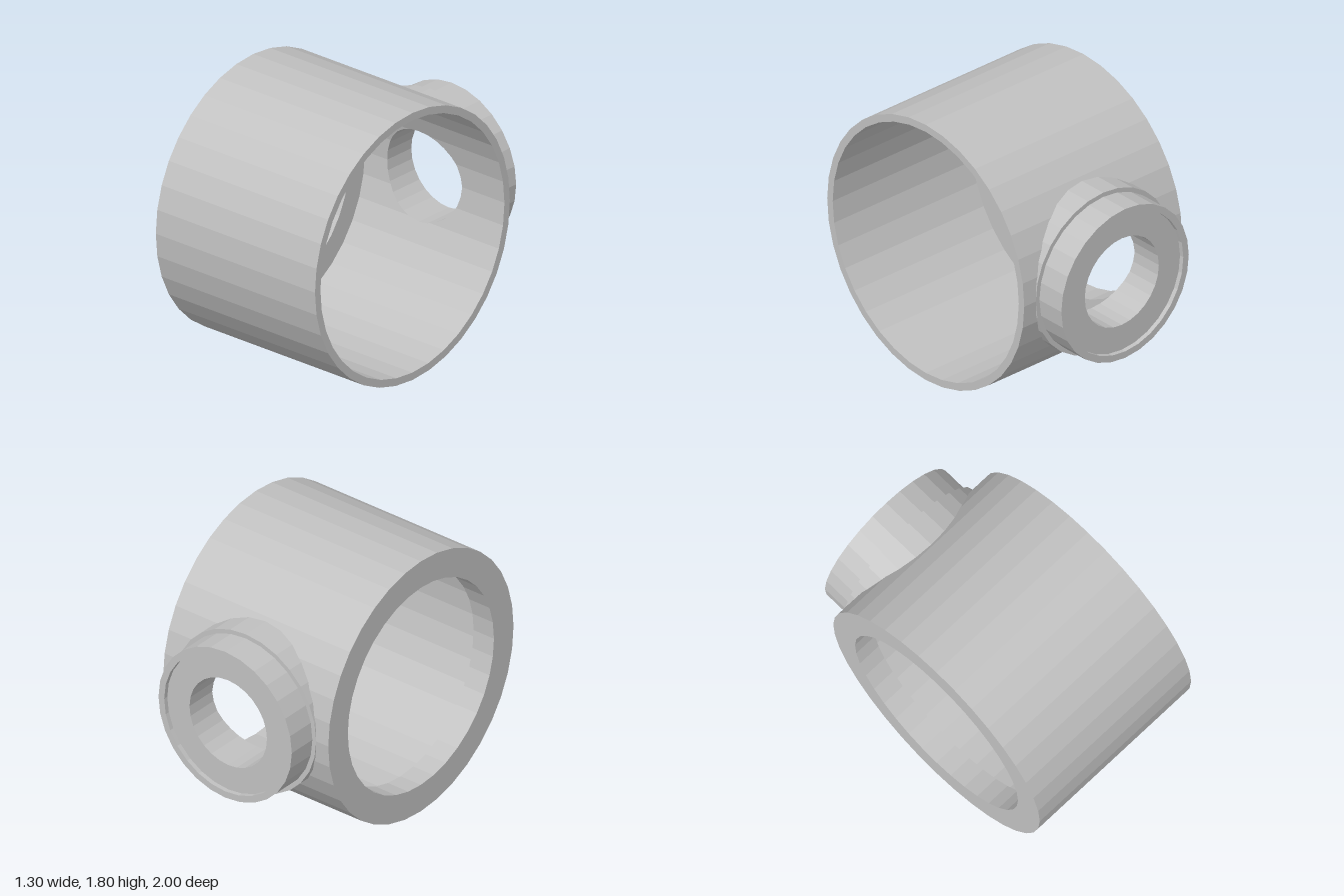
import * as THREE from 'three';

const BODY_SIDES = 36, BRANCH_SIDES = 28;
const CY = 0.9, CZ = 0.1;                 // axis of the main ring
const R_OUT = 0.9, R_WIDE = 0.85, R_NARROW = 0.71;
const X0 = -0.65, X1 = 0.65, X_STEP = -0.49;
const R_HOLE = 0.305;

// distance from the axis plane to the faceted cylinder wall at height dy
function wallDepth(R, dy) {
  const step = (2 * Math.PI) / BODY_SIDES;
  const a = Math.asin(THREE.MathUtils.clamp(dy / R, -1, 1));
  const k = Math.floor(a / step + 1e-6);
  const s0 = R * Math.sin(k * step), s1 = R * Math.sin((k + 1) * step);
  const c0 = R * Math.cos(k * step), c1 = R * Math.cos((k + 1) * step);
  if (Math.abs(s1 - s0) < 1e-9 || k >= BODY_SIDES / 4) return Math.max(0, c0);
  return c0 + (c1 - c0) * (dy - s0) / (s1 - s0);
}

// half width of the many-sided branch opening at height dy
function holeHalfWidth(r, dy) {
  const step = (2 * Math.PI) / BRANCH_SIDES;
  const a = Math.asin(THREE.MathUtils.clamp(dy / r, -1, 1));
  const k = Math.min(Math.floor(a / step + 1e-6), BRANCH_SIDES / 4 - 1);
  const s0 = r * Math.sin(k * step), s1 = r * Math.sin((k + 1) * step);
  const c0 = r * Math.cos(k * step), c1 = r * Math.cos((k + 1) * step);
  return Math.max(0, c0 + (c1 - c0) * (dy - s0) / (s1 - s0));
}

// cylinder wall along x with a round opening at the back
function wallWithHole(R, xa, xb, hole, inward) {
  const ys = [];
  for (let k = 0; k <= BODY_SIDES / 2; k++) ys.push(-R * Math.cos((k * 2 * Math.PI) / BODY_SIDES));
  for (let k = 0; k <= BRANCH_SIDES / 2; k++) ys.push(-hole * Math.cos((k * 2 * Math.PI) / BRANCH_SIDES));
  ys.sort((a, b) => a - b);
  const pos = [];
  for (const side of [1, -1]) {
    const flip = (side < 0) !== inward;
    const quad = (l0, r0, l1, r1, y0, y1) => {
      const p = (x, y) => [x, CY + y, CZ + side * wallDepth(R, y)];
      const [a, b, c, d] = [p(l0, y0), p(r0, y0), p(r1, y1), p(l1, y1)];
      pos.push(...(flip ? [a, c, b, a, d, c] : [a, b, c, a, c, d]).flat());
    };
    for (let i = 0; i + 1 < ys.length; i++) {
      const y0 = ys[i], y1 = ys[i + 1];
      if (y1 - y0 < 1e-6) continue;
      if (side < 0 && Math.abs((y0 + y1) / 2) < hole) {
        const w0 = holeHalfWidth(hole, y0), w1 = holeHalfWidth(hole, y1);
        quad(xa, -w0, xa, -w1, y0, y1);
        quad(w0, xb, w1, xb, y0, y1);
      } else {
        quad(xa, xb, xa, xb, y0, y1);
      }
    }
  }
  const g = new THREE.BufferGeometry();
  g.setAttribute('position', new THREE.Float32BufferAttribute(pos, 3));
  g.computeVertexNormals();
  return g;
}

const lathe = (pts, sides) =>
  new THREE.LatheGeometry(pts.map(([r, h]) => new THREE.Vector2(r, h)), sides);

export function createModel() {
  const group = new THREE.Group();
  const grey = new THREE.MeshStandardMaterial({ color: 0xc0c0c0, flatShading: true });
  grey.name = 'plain grey';
  const add = (name, geometry) => {
    const mesh = new THREE.Mesh(geometry, grey);
    mesh.name = name;
    group.add(mesh);
  };

  // main ring walls
  add('outerWall', wallWithHole(R_OUT, X0, X1, 0.53, false));
  add('wideBore', wallWithHole(R_WIDE, X_STEP, X1, R_HOLE, true));

  // thin rim at the open end
  const rim = lathe([[R_OUT, X1], [R_WIDE, X1]], BODY_SIDES);
  // inner step, narrow bore and thick end face
  const lip = lathe([[R_WIDE, X_STEP], [R_NARROW, X_STEP], [R_NARROW, X0], [R_OUT, X0]], BODY_SIDES);
  for (const [name, g] of [['openRim', rim], ['narrowLip', lip]]) {
    g.rotateZ(-Math.PI / 2).translate(0, CY, CZ);
    add(name, g);
  }

  // back branch: collar, pipe, shallow recess and through hole
  const profile = [[0.555, 0.6], [0.555, 0.8], [0.525, 0.8], [0.525, 1],
    [0.48, 1], [0.48, 0.97], [R_HOLE, 0.97], [R_HOLE, 0.7]];
  const branch = lathe(profile, BRANCH_SIDES);
  branch.rotateX(-Math.PI / 2);
  const p = branch.attributes.position, n = profile.length;
  for (let i = 0; i < p.count; i++) {
    // both ends of the profile follow the curved walls of the ring
    if (i % n === 0) p.setZ(i, CZ - wallDepth(R_OUT, p.getY(i)) + 0.02);
    if (i % n === n - 1) p.setZ(i, CZ - wallDepth(R_WIDE, p.getY(i)));
  }
  branch.translate(0, CY, 0);
  branch.computeVertexNormals();
  add('branchPipe', branch);

  return group;
}
